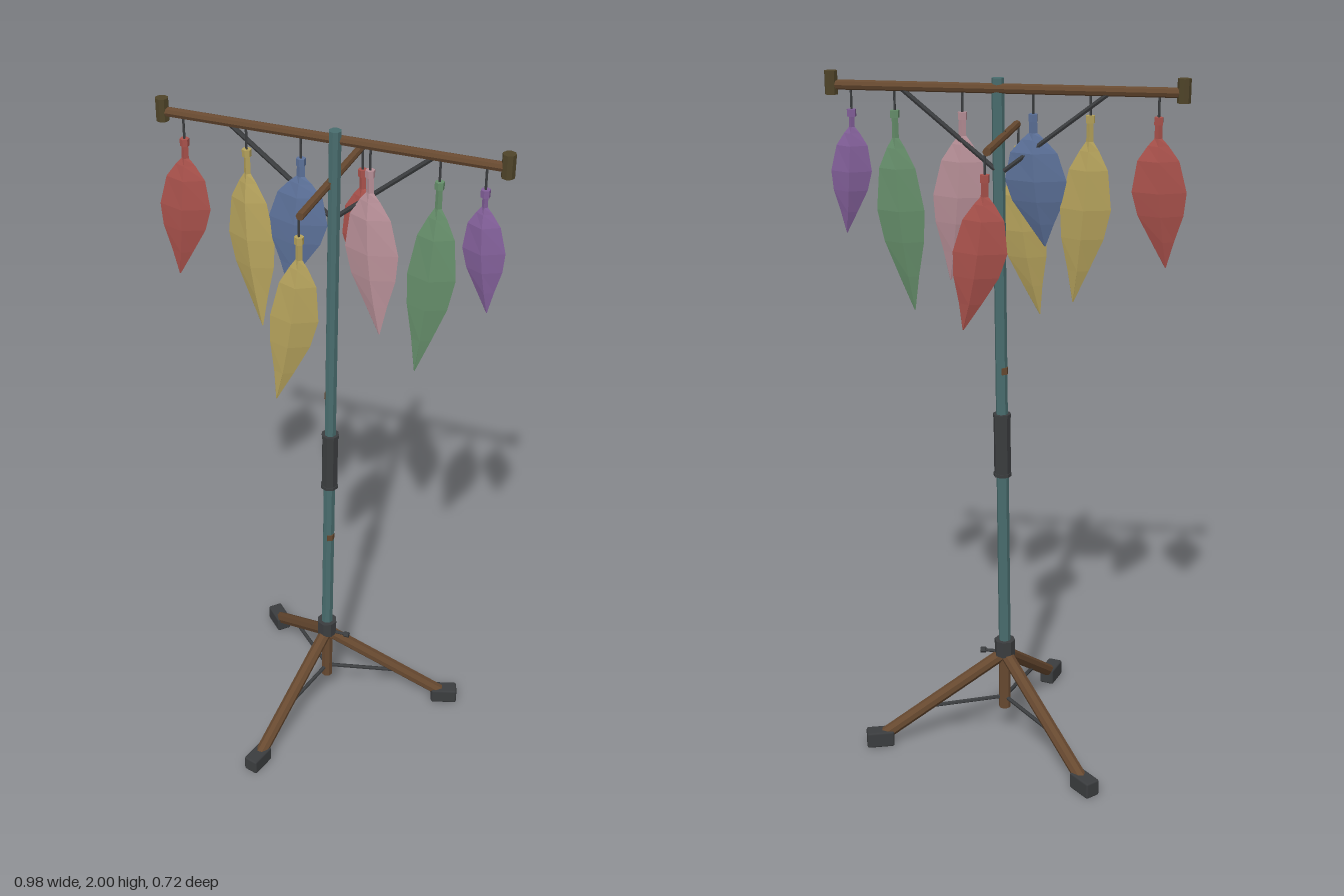
import * as THREE from 'three';
import { RoundedBoxGeometry } from 'three/addons/geometries/RoundedBoxGeometry.js';

const paint = (name, color) => Object.assign(new THREE.MeshStandardMaterial({ color }), { name });
const wood = paint('brown wood', 0x674930);
const teal = paint('teal pole', 0x496d6e);
const dark = paint('dark rubber', 0x3b3d3f);
const olive = paint('olive caps', 0x4f4429);
const red = paint('red leaf', 0xaa524c);
const yellow = paint('yellow leaf', 0xb5a25c);
const blue = paint('blue leaf', 0x5c7199);
const pink = paint('pink leaf', 0xb78f97);
const green = paint('green leaf', 0x67906c);
const purple = paint('purple leaf', 0x83609a);

const V = (x, y, z) => new THREE.Vector3(x, y, z);

// Faceted normals
function facet(geometry) {
  const g = geometry.index ? geometry.toNonIndexed() : geometry;
  g.computeVertexNormals();
  return g;
}

function add(parent, name, geometry, material) {
  const mesh = new THREE.Mesh(geometry, material);
  mesh.name = name;
  parent.add(mesh);
  return mesh;
}

// Straight faceted rod between two points
function rod(parent, name, a, b, radius, material, sides = 8) {
  const dir = b.clone().sub(a);
  const mesh = add(parent, name, facet(new THREE.CylinderGeometry(radius, radius, dir.length(), sides)), material);
  mesh.position.copy(a).add(b).multiplyScalar(0.5);
  mesh.quaternion.setFromUnitVectors(V(0, 1, 0), dir.normalize());
}

// Leaf body: diamond sections stacked along a bending centre line.
// Each row is [distance down, width, thickness], all relative.
const PROFILE = [
  [0, 0.13, 0.3], [0.12, 0.14, 0.3], [0.17, 0.38, 0.5], [0.27, 0.76, 0.85],
  [0.48, 1, 1], [0.64, 0.84, 0.85], [0.82, 0.42, 0.5], [1, 0.02, 0.05],
];
function leafGeometry(length, half, depth, dx, dz, yaw) {
  const points = [], index = [];
  for (const [t, w, d] of PROFILE) {
    for (let i = 0; i < 4; i++) {
      const x = Math.cos(i * Math.PI / 2) * half * w;
      const z = Math.sin(i * Math.PI / 2) * depth * d;
      points.push(
        x * Math.cos(yaw) + z * Math.sin(yaw) + dx * t * t,
        -length * t,
        z * Math.cos(yaw) - x * Math.sin(yaw) + dz * t * t,
      );
    }
  }
  for (let j = 0; j < PROFILE.length - 1; j++) {
    for (let i = 0; i < 4; i++) {
      const a = j * 4 + i, b = j * 4 + (i + 1) % 4;
      index.push(a, b, a + 4, b, b + 4, a + 4);
    }
  }
  const g = new THREE.BufferGeometry();
  g.setAttribute('position', new THREE.Float32BufferAttribute(points, 3));
  g.setIndex(index);
  return facet(g);
}

function hangingLeaf(parent, material, x, z, barY, topY, tipX, tipY, half, dz, yaw) {
  const group = new THREE.Group();
  group.name = 'hangingLeaf';
  parent.add(group);
  rod(group, 'string', V(x, topY, z), V(x, barY, z), 0.0035, dark, 5);
  rod(group, 'bead', V(x, topY - 0.012, z), V(x, topY + 0.008, z), 0.013, material, 6);
  const leaf = add(group, 'leaf', leafGeometry(topY - tipY, half, 0.028, tipX - x, dz, yaw), material);
  leaf.position.set(x, topY, z);
}

export function createModel() {
  const model = new THREE.Group();
  model.name = 'leafStand';
  const Z = -0.053;

  // Pole, leaning very slightly
  const poleAt = (y, dx = 0, dz = 0) => V(0.018 * (y - 0.3) / 1.7 + dx, y, Z + dz);
  rod(model, 'lowerPole', poleAt(0.28), poleAt(1.0), 0.018, teal);
  rod(model, 'upperPole', poleAt(1.0), poleAt(1.99), 0.0172, teal);
  rod(model, 'grip', poleAt(0.865), poleAt(1.045), 0.0245, dark);
  for (const y of [0.865, 1.045]) rod(model, 'gripRim', poleAt(y - 0.005), poleAt(y + 0.005), 0.0265, dark);

  // Small worn patches showing through one side of the pole
  for (const [y, dx, dz] of [[0.675, 0.005, 0.005], [1.18, -0.006, -0.003], [1.84, -0.006, 0.002]]) {
    rod(model, 'wornPatch', poleAt(y - 0.01, dx, dz), poleAt(y + 0.01, dx, dz), 0.0145, wood, 6);
  }

  // Hub, knob and centre post
  rod(model, 'hub', V(0, 0.28, Z), V(0, 0.33, Z), 0.031, dark);
  rod(model, 'knobStem', V(0.02, 0.287, Z), V(0.062, 0.287, Z), 0.005, dark, 6);
  rod(model, 'knob', V(0.058, 0.287, Z), V(0.074, 0.287, Z), 0.009, dark, 6);
  rod(model, 'centrePost', V(0, 0.1, Z), V(0, 0.29, Z), 0.018, wood);

  // Tripod legs with struts and feet
  const hub = V(0, 0.285, Z);
  for (const [x, z] of [[-0.28, -0.318], [0.362, -0.176], [-0.088, 0.312]]) {
    const foot = V(x, 0.027, z);
    const end = hub.clone().lerp(foot, 0.97);
    rod(model, 'leg', hub, end, 0.019, wood);
    rod(model, 'strut', V(0, 0.135, Z), hub.clone().lerp(end, 0.66), 0.006, dark, 6);
    const shoe = add(model, 'foot', new RoundedBoxGeometry(0.046, 0.05, 0.082, 1, 0.006), dark);
    shoe.position.copy(foot);
    shoe.rotation.y = Math.atan2(x, z - Z);
  }

  // Top bar with end caps and diagonal braces
  const barZ = -0.06;
  rod(model, 'topBar', V(-0.475, 1.963, barZ), V(0.472, 1.963, barZ), 0.0135, wood);
  for (const x of [-0.474, 0.472]) {
    rod(model, 'endCap', V(x, 1.937, barZ), V(x, 2, barZ), 0.018, olive);
  }
  for (const s of [-1, 1]) {
    rod(model, 'brace', V(s * 0.28, 1.958, barZ), V(0.01 + s * 0.01, 1.745, barZ), 0.007, dark, 6);
  }

  // Cross bar running front to back
  rod(model, 'crossBar', V(0, 1.838, 0.145), V(0, 1.838, -0.305), 0.011, wood);

  // Leaves: material, x, z, bar height, top, tip x, tip y, half width, tip z shift, yaw
  const rowZ = -0.053;
  const leaves = [
    [red, -0.41, rowZ, 1.96, 1.89, -0.44, 1.493, 0.073, 0.012, 0.08],
    [yellow, -0.23, rowZ, 1.96, 1.89, -0.188, 1.383, 0.07, 0.02, -0.08],
    [blue, -0.077, rowZ, 1.96, 1.89, -0.108, 1.535, 0.084, 0.025, 0],
    [pink, 0.114, rowZ, 1.96, 1.89, 0.156, 1.43, 0.076, 0.02, -0.05],
    [green, 0.3, rowZ, 1.96, 1.89, 0.26, 1.338, 0.066, 0.02, 0.05],
    [purple, 0.42, rowZ, 1.96, 1.89, 0.447, 1.555, 0.057, 0.01, 0.03],
    [yellow, -0.005, 0.138, 1.84, 1.77, -0.066, 1.288, 0.066, 0.022, 0.1],
    [red, 0.008, -0.29, 1.84, 1.77, 0.071, 1.36, 0.073, 0.012, -0.05],
  ];
  for (const leaf of leaves) hangingLeaf(model, ...leaf);

  return model;
}
